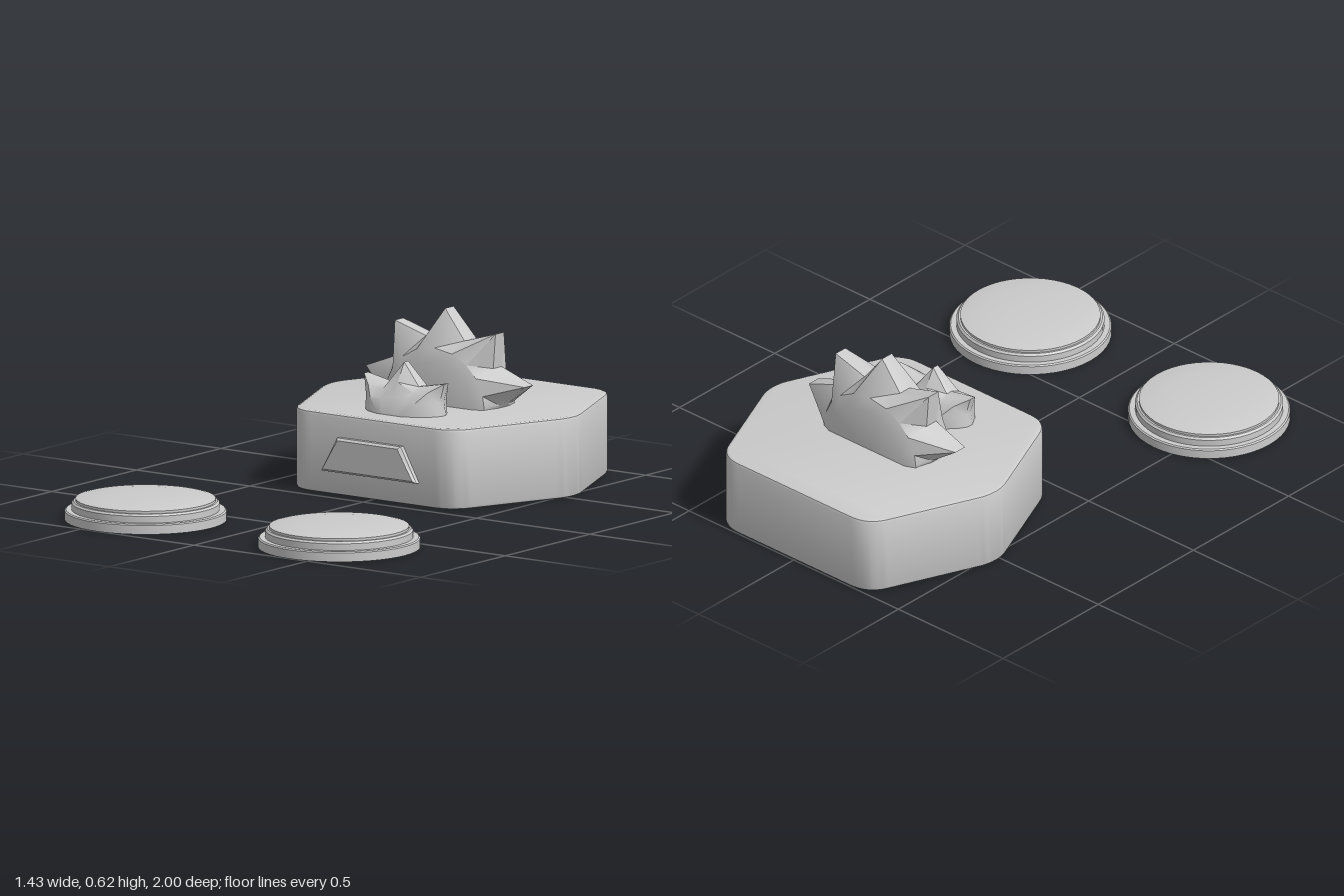
import * as THREE from 'three';
import { toCreasedNormals } from 'three/addons/utils/BufferGeometryUtils.js';

const material = new THREE.MeshStandardMaterial({ color: 0xcccccc });

function part(name, geometry, x = 0, y = 0, z = 0, crease = 0.6) {
  const mesh = new THREE.Mesh(toCreasedNormals(geometry, crease), material);
  mesh.name = name;
  mesh.position.set(x, y, z);
  return mesh;
}

// Closed outline whose corners are rounded with curves
function roundedShape(corners, cut) {
  const pts = corners.map(([x, y]) => new THREE.Vector2(x, y));
  const toward = (a, b) => a.clone().add(b.clone().sub(a).setLength(cut));
  const shape = new THREE.Shape();
  pts.forEach((p, i) => {
    const a = toward(p, pts[(i + pts.length - 1) % pts.length]);
    const b = toward(p, pts[(i + 1) % pts.length]);
    if (i === 0) shape.moveTo(a.x, a.y);
    else shape.lineTo(a.x, a.y);
    shape.quadraticCurveTo(p.x, p.y, b.x, b.y);
  });
  shape.closePath();
  return shape;
}

// Skin across outlines ordered front to back; each runs from right base over the top to left base
function loft(layers) {
  const pos = [], idx = [], n = layers[0].pts.length;
  layers.forEach(({ z, pts }) => pts.forEach(([x, y]) => pos.push(x, y, z)));
  for (let i = 0; i < layers.length - 1; i++) {
    for (let j = 0; j < n; j++) {
      const k = (j + 1) % n;
      const a = i * n + j, b = i * n + k, c = a + n, d = b + n;
      idx.push(a, c, b, b, c, d);
    }
  }
  const last = layers.length - 1;
  [[0, layers[0]], [last, layers[last]]].forEach(([i, { z, pts }]) => {
    const centre = pos.length / 3;
    pos.push(0, pts[0][1], z);
    for (let j = 0; j < n - 1; j++) {
      const a = i * n + j;
      if (i === 0) idx.push(centre, a, a + 1);
      else idx.push(centre, a + 1, a);
    }
  });
  const g = new THREE.BufferGeometry();
  g.setAttribute('position', new THREE.Float32BufferAttribute(pos, 3));
  g.setIndex(idx);
  return g;
}

// Adds the left half of an outline; the last point given lies on the centre line
const mirrored = (half) => [...half, ...half.slice(0, -1).reverse().map(([x, y]) => [-x, y])];

// Repeats outlines given from the middle outwards on both sides
const bothSides = (outer) => [
  ...outer.slice().reverse(),
  ...outer.map(({ z, pts }) => ({ z: -z, pts })),
];

// Elliptic arc with a point under every vertex of a spiky outline
const arcUnder = (outline, rx, ry) => outline.map(([x, y]) => {
  const a = Math.atan2(y, x);
  return [rx * Math.cos(a), ry * Math.sin(a)];
});

export function createModel() {
  const model = new THREE.Group();
  model.name = 'model';

  // Hexagonal base block
  const b = 0.012;
  const hexagon = roundedShape([
    [0.55 - b, 0], [0.355 - b, 0.475 - b], [-0.355 + b, 0.475 - b],
    [-0.55 + b, 0], [-0.355 + b, -0.475 + b], [0.355 - b, -0.475 + b],
  ], 0.075);
  const block = new THREE.ExtrudeGeometry(hexagon, {
    depth: 0.29 - 2 * b, bevelThickness: b, bevelSize: b, bevelSegments: 2, curveSegments: 8,
  }).rotateX(-Math.PI / 2);
  model.add(part('base', block, 0, b, -0.525));

  // Trapezoid plate on the front, its sides sloping in slightly
  const plate = (i) => [[0.21 - 1.4 * i, 0.085 + i], [0.14 - i, 0.21 - i],
    [-0.14 + i, 0.21 - i], [-0.21 + 1.4 * i, 0.085 + i]];
  model.add(part('frontPlate', loft([
    { z: -0.024, pts: plate(0.008) },
    { z: -0.034, pts: plate(0) },
    { z: -0.07, pts: plate(0) },
  ]), 0, 0, 0, 0.3));

  // Large crest: five spikes around a thick half disc
  const spikes = mirrored([[0.225, -0.02], [0.24, 0.01], [0.35, 0.088], [0.212, 0.14],
    [0.222, 0.265], [0.085, 0.225], [0, 0.333]]);
  model.add(part('largeCrest', loft(bothSides([
    { z: 0.025, pts: spikes },
    { z: 0.09, pts: arcUnder(spikes, 0.22, 0.2) },
    { z: 0.107, pts: arcUnder(spikes, 0.18, 0.15) },
  ])), 0, 0.29, -0.51));

  // Small crest: three spikes on an oval foot
  model.add(part('smallCrest', loft(bothSides([
    { z: 0.012, pts: mirrored([[0.17, -0.02], [0.157, 0.05], [0.177, 0.117], [0.065, 0.095], [0, 0.177]]) },
    { z: 0.05, pts: mirrored([[0.145, -0.02], [0.14, 0.05], [0.13, 0.085], [0.065, 0.08], [0, 0.11]]) },
    { z: 0.08, pts: mirrored([[0.115, -0.02], [0.11, 0.02], [0.1, 0.05], [0.055, 0.05], [0, 0.06]]) },
    { z: 0.105, pts: mirrored([[0.06, -0.02], [0.055, -0.005], [0.05, 0.005], [0.03, 0.005], [0, 0.008]]) },
  ])), 0, 0.29, -0.255));

  // Two stepped discs with shallow domes
  const profile = [[0, 0], [0.287, 0], [0.287, 0.032], [0.282, 0.036], [0.262, 0.036], [0.262, 0.06],
    [0.255, 0.067], [0.248, 0.067], [0.248, 0.076], [0.23, 0.08], [0.16, 0.087], [0.08, 0.091], [0, 0.092]];
  const disc = new THREE.LatheGeometry(profile.map(([x, y]) => new THREE.Vector2(x, y)), 48);
  for (const side of [1, -1]) {
    model.add(part(side > 0 ? 'leftDisc' : 'rightDisc', disc, side * 0.427, 0, 0.713));
  }

  return model;
}
